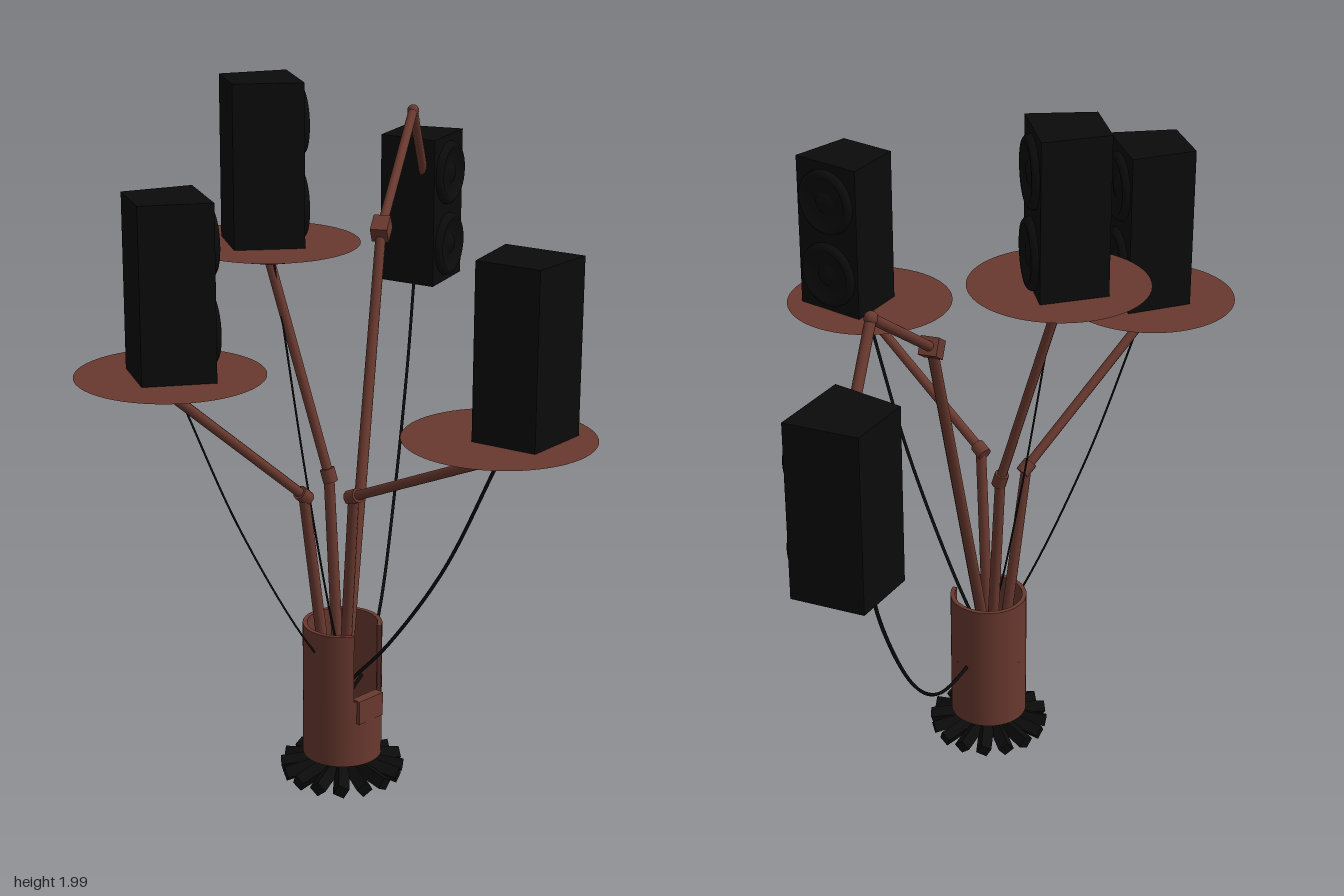
import * as THREE from 'three';

const brown = new THREE.MeshStandardMaterial({ color: 0x69392f });
brown.name = 'brown';
const brownShell = brown.clone();
brownShell.name = 'brown shell';
brownShell.side = THREE.DoubleSide;
const black = new THREE.MeshStandardMaterial({ color: 0x0b0b0b });
black.name = 'black';

const V = (p) => new THREE.Vector3(...p);

function add(parent, name, geometry, material, pos = [0, 0, 0]) {
  const mesh = new THREE.Mesh(geometry, material);
  mesh.name = name;
  mesh.position.set(...pos);
  parent.add(mesh);
  return mesh;
}

// Round rod between two points
function rod(parent, name, a, b, rStart, rEnd, material) {
  const from = V(a), dir = V(b).sub(from);
  const mesh = add(parent, name, new THREE.CylinderGeometry(rEnd, rStart, dir.length(), 10), material);
  mesh.position.copy(from).addScaledVector(dir, 0.5);
  mesh.quaternion.setFromUnitVectors(new THREE.Vector3(0, 1, 0), dir.normalize());
  return mesh;
}

function cable(parent, name, points, radius) {
  const curve = new THREE.CatmullRomCurve3(points.map(V));
  add(parent, name, new THREE.TubeGeometry(curve, 40, radius, 6), black);
}

// Loudspeaker: cabinet narrowing to the back, two round drivers on the front
function makeSpeaker(x, top, z, yaw) {
  const g = new THREE.Group();
  g.name = 'speaker';
  const h = 0.467;
  const outline = new THREE.Shape([
    new THREE.Vector2(-0.112, -0.092), new THREE.Vector2(0.112, -0.092),
    new THREE.Vector2(0.09, 0.1), new THREE.Vector2(-0.09, 0.1),
  ]);
  const cabinet = new THREE.ExtrudeGeometry(outline, { depth: h, bevelEnabled: false });
  cabinet.rotateX(-Math.PI / 2);
  add(g, 'cabinet', cabinet, black, [0, -h, 0]);
  const profile = [[0.1, 0], [0.098, 0.012], [0.09, 0.019], [0.08, 0.019], [0.07, 0.008],
    [0.035, 0.005], [0.03, 0.013], [0, 0.019]].map(([r, y]) => new THREE.Vector2(r, y));
  profile.reverse();
  for (const y of [-0.12, -0.35]) {
    const driver = new THREE.LatheGeometry(profile, 32);
    driver.rotateX(Math.PI / 2);
    const material = black;
    add(g, 'driver', ensureOutward(driver), material, [0, y, 0.092]);
  }
  g.position.set(x, top, z);
  g.rotation.y = Math.PI / 2 - yaw;
  return g;
}

// Flip the winding if the lathe faces point to the back
function ensureOutward(geo) {
  const p = geo.attributes.position, idx = geo.index.array;
  let sum = 0;
  const a = new THREE.Vector3(), b = new THREE.Vector3(), c = new THREE.Vector3();
  for (let i = 0; i < idx.length; i += 3) {
    a.fromBufferAttribute(p, idx[i]);
    b.fromBufferAttribute(p, idx[i + 1]).sub(a);
    c.fromBufferAttribute(p, idx[i + 2]).sub(a);
    sum += b.cross(c).z;
  }
  if (sum < 0) {
    for (let i = 0; i < idx.length; i += 3) [idx[i], idx[i + 1]] = [idx[i + 1], idx[i]];
    geo.computeVertexNormals();
  }
  return geo;
}

export function createModel() {
  const model = new THREE.Group();
  model.name = 'speakerTree';

  // Trunk: open tube with a slot in its upper front
  const trunk = new THREE.Group();
  trunk.name = 'trunk';
  trunk.position.set(0, 0, 0.118);
  model.add(trunk);
  const slot = [-0.08, 0.92];
  for (const r of [0.113, 0.1]) {
    add(trunk, 'lowerTube', new THREE.CylinderGeometry(r, r, 0.2, 40, 1, true), brownShell, [0, 0.18, 0]);
    add(trunk, 'slottedTube', new THREE.CylinderGeometry(r, r, 0.2, 40, 1, true, slot[1],
      Math.PI * 2 - (slot[1] - slot[0])), brownShell, [0, 0.38, 0]);
  }
  const rim = new THREE.RingGeometry(0.1, 0.113, 40, 1, slot[1] - Math.PI / 2, Math.PI * 2 - (slot[1] - slot[0]));
  rim.rotateX(-Math.PI / 2);
  add(trunk, 'rim', rim, brownShell, [0, 0.48, 0]);
  add(trunk, 'floor', new THREE.CylinderGeometry(0.112, 0.112, 0.01, 40), brown, [0, 0.085, 0]);
  const sill = add(trunk, 'slotSill', new THREE.BoxGeometry(0.095, 0.07, 0.03), brown, [0.041, 0.247, 0.09]);
  sill.rotation.y = 0.42;

  // Ring of splayed roots
  const roots = new THREE.Group();
  roots.name = 'roots';
  roots.position.set(0, 0, 0.118);
  model.add(roots);
  const count = 16;
  for (let i = 0; i < count; i++) {
    const spoke = new THREE.Group();
    spoke.name = 'root';
    spoke.rotation.y = (i / count) * Math.PI * 2;
    const blade = add(spoke, 'rootBlade', new THREE.BoxGeometry(0.034, 0.034, 0.12), black, [0, 0.043, 0.115]);
    blade.rotation.set(0.17, 0, Math.PI / 4 + (i % 2 ? 0.3 : -0.1));
    roots.add(spoke);
  }

  // Three bent branches, each with a cone shelf and a speaker
  const branches = [
    { base: [-0.02, 0.09, 0.118], elbow: [-0.12, 0.88, 0.13], shelf: [-0.535, 1.31, 0.26],
      speaker: [-0.533, 1.78, 0.265, 0.06] },
    { base: [0, 0.09, 0.12], elbow: [-0.015, 0.9, 0.05], shelf: [-0.137, 1.55, -0.085],
      speaker: [-0.15, 2.0, -0.1, 0.13] },
    { base: [-0.01, 0.09, 0.13], elbow: [-0.015, 0.9, 0.237], shelf: [0.183, 1.197, 0.727],
      speaker: [0.24, 1.664, 0.742, -0.62] },
  ];
  for (const { base, elbow, shelf, speaker } of branches) {
    const [x, y, z] = shelf;
    const tip = [x, y - 0.055, z];
    rod(model, 'lowerBranch', base, elbow, 0.017, 0.015, brown);
    rod(model, 'upperBranch', elbow, tip, 0.014, 0.014, brown);
    const e = V(elbow), d = V(tip).sub(e).normalize().multiplyScalar(0.02);
    rod(model, 'elbow', e.clone().sub(d).toArray(), e.clone().add(d).toArray(), 0.021, 0.021, brown);
    add(model, 'shelf', new THREE.CylinderGeometry(0.25, 0.012, 0.062, 64), brown, [x, y - 0.031, z]);
    model.add(makeSpeaker(...speaker));
  }

  // Long boom with the hanging speaker
  const boom = [[0.0, 0.3, 0.14], [0.275, 1.51, -0.28], [0.52, 1.78, -0.625], [0.625, 1.53, -0.77]];
  rod(model, 'boomLower', boom[0], boom[1], 0.017, 0.015, brown);
  rod(model, 'boomMiddle', boom[1], boom[2], 0.014, 0.014, brown);
  rod(model, 'boomTip', boom[2], boom[3], 0.014, 0.014, brown);
  const joint = add(model, 'boomJoint', new THREE.BoxGeometry(0.05, 0.05, 0.06), brown, boom[1]);
  joint.lookAt(V(boom[2]));
  add(model, 'boomKnuckle', new THREE.SphereGeometry(0.018, 12, 8), brown, boom[2]);
  model.add(makeSpeaker(0.65, 1.664, -0.853, 0.82));

  // Cables from the slot to the speakers
  cable(model, 'cable', [[-0.51, 1.25, 0.25], [-0.33, 0.83, 0.205], [-0.115, 0.44, 0.165], [0, 0.3, 0.15]], 0.003);
  cable(model, 'cable', [[-0.13, 1.49, -0.07], [-0.075, 0.9, 0.025], [-0.03, 0.5, 0.1], [0, 0.29, 0.15]], 0.003);
  cable(model, 'cable', [[0.19, 1.14, 0.72], [0.13, 0.77, 0.52], [0.06, 0.47, 0.3], [0.02, 0.34, 0.18], [0, 0.29, 0.14]], 0.005);
  cable(model, 'cable', [[0.59, 1.21, -0.765], [0.53, 0.96, -0.67], [0.39, 0.6, -0.44], [0.25, 0.38, -0.2],
    [0.12, 0.285, 0.01], [0.02, 0.275, 0.14]], 0.005);
  return model;
}
